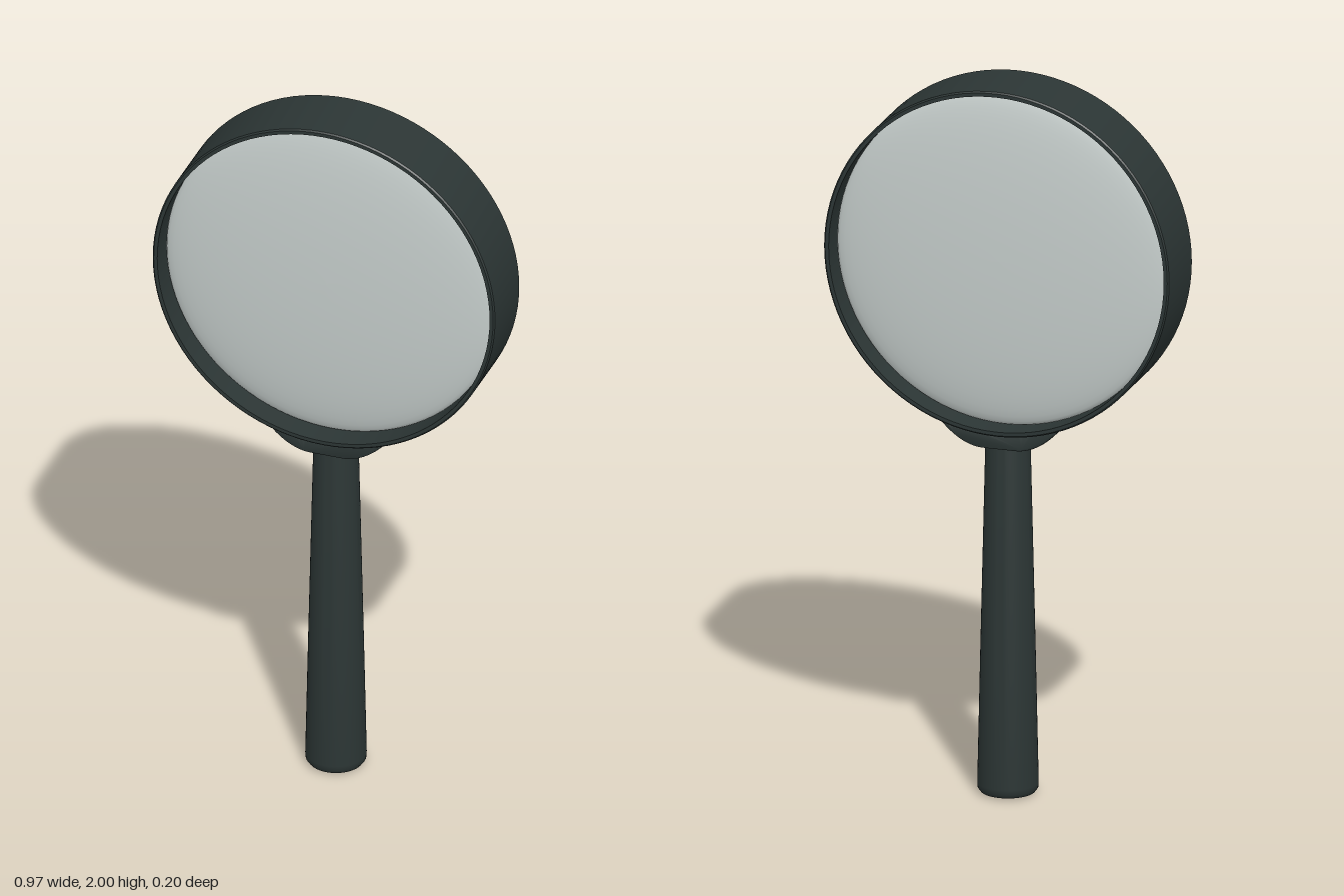
import * as THREE from 'three';
import { toCreasedNormals } from 'three/addons/utils/BufferGeometryUtils.js';

const RING_Y = 1.515;
const RING_R = 0.485;
const INNER_R = 0.471;

function lathe(points, segments) {
  return new THREE.LatheGeometry(points.map(([x, y]) => new THREE.Vector2(x, y)), segments);
}

export function createModel() {
  const group = new THREE.Group();
  const casing = new THREE.MeshStandardMaterial({ color: 0x2c3635 });
  casing.name = 'dark casing';
  const glass = new THREE.MeshStandardMaterial({ color: 0xc6cecc });
  glass.name = 'pale glass';

  const add = (name, geometry, material, y = 0) => {
    const mesh = new THREE.Mesh(geometry, material);
    mesh.name = name;
    mesh.position.y = y;
    group.add(mesh);
  };

  // Rim: a thin, deep hoop with softened outer edges
  const d = 0.098, b = 0.004;
  const rim = lathe([
    [INNER_R, -d], [RING_R - b, -d], [RING_R, -d + b],
    [RING_R, d - b], [RING_R - b, d], [INNER_R, d], [INNER_R, -d],
  ], 96).rotateX(Math.PI / 2);
  add('rim', toCreasedNormals(rim, 0.5), casing, RING_Y);

  // Lens: domed on both faces, its edge set inside the rim
  const dome = [];
  const steps = 14;
  for (let i = 0; i <= steps; i++) {
    const a = (i / steps) * Math.PI / 2;
    dome.push([INNER_R * Math.sin(a), 0.025 + 0.05 * Math.cos(a)]);
  }
  const lensProfile = [...dome.map(([r, z]) => [r, -z]), ...dome.reverse()];
  const lens = lathe(lensProfile, 96).rotateX(Math.PI / 2);
  add('lens', lens, glass, RING_Y);

  // Collar: bowl-shaped block hugging the underside of the rim
  const collarShape = new THREE.Shape();
  const spread = 0.37;
  const seatR = 0.478;
  collarShape.moveTo(-seatR * Math.sin(spread), RING_Y - seatR * Math.cos(spread));
  collarShape.quadraticCurveTo(-0.11, 0.993, -0.045, 0.992);
  collarShape.lineTo(0.045, 0.992);
  collarShape.quadraticCurveTo(0.11, 0.993, seatR * Math.sin(spread), RING_Y - seatR * Math.cos(spread));
  collarShape.absarc(0, RING_Y, seatR, -Math.PI / 2 + spread, -Math.PI / 2 - spread, true);
  const collar = new THREE.ExtrudeGeometry(collarShape, {
    depth: 0.144, curveSegments: 20,
    bevelEnabled: true, bevelThickness: 0.006, bevelSize: 0.005, bevelSegments: 2,
  }).translate(0, 0, -0.072);
  add('collar', toCreasedNormals(collar, 0.6), casing);

  // Handle: tapered round grip with a rounded foot
  const handle = lathe([
    [0, 0], [0.06, 0.001], [0.074, 0.006], [0.081, 0.016], [0.082, 0.03],
    [0.074, 0.4], [0.0605, 0.985], [0.058, 1.01], [0, 1.01],
  ], 48);
  add('handle', toCreasedNormals(handle, 0.7), casing);

  return group;
}
